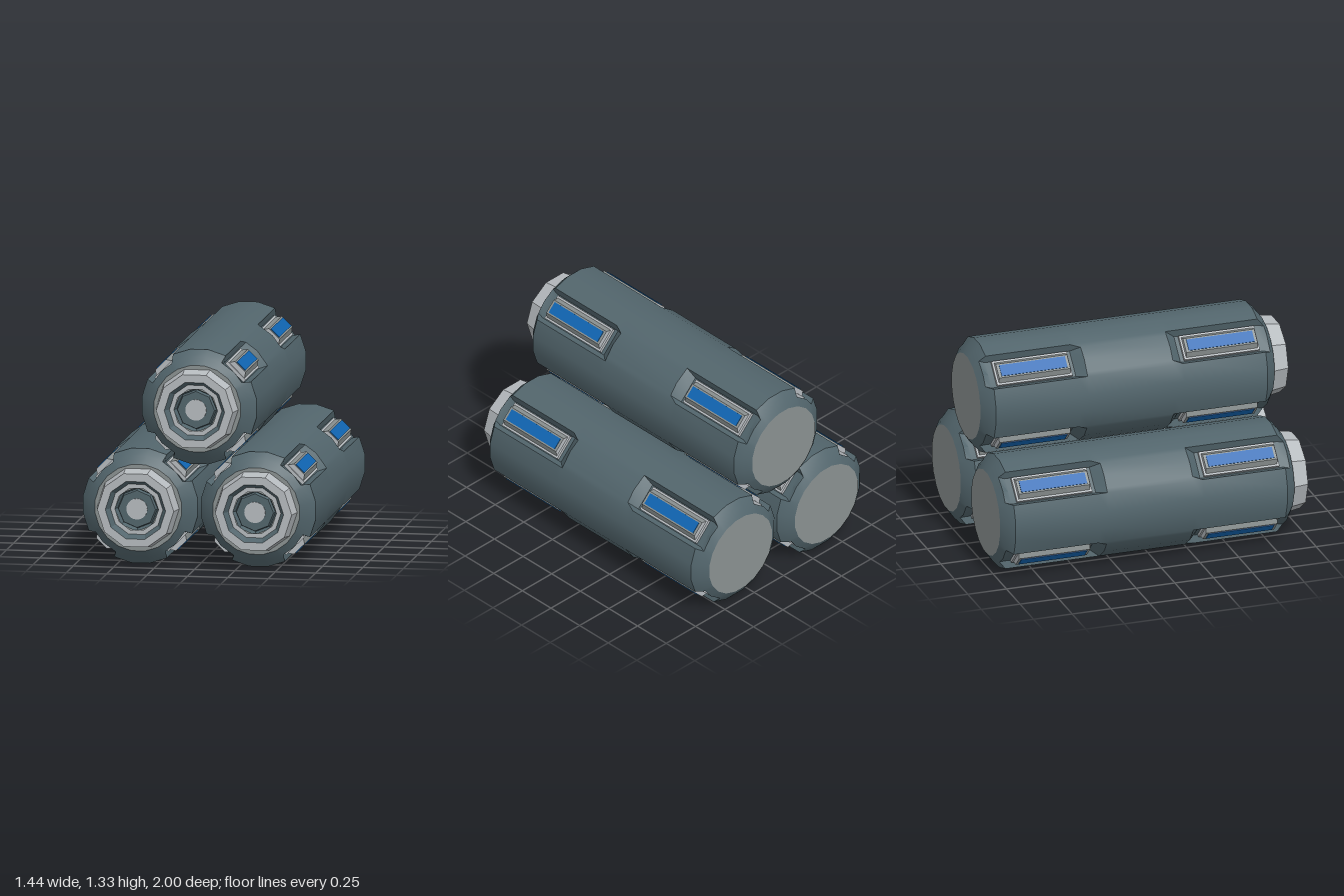
import * as THREE from 'three';
import { toCreasedNormals } from 'three/addons/utils/BufferGeometryUtils.js';

const mat = (name, color) => {
  const m = new THREE.MeshStandardMaterial({ color });
  m.name = name;
  return m;
};
const shell = mat('slate shell', 0x52656c);
const light = mat('light metal', 0xb6bbbf);
const grey = mat('grey metal', 0x8a9191);
const blue = mat('blue light', 0x1065b2);

const mesh = (name, geo, material) => {
  const m = new THREE.Mesh(geo, material);
  m.name = name;
  return m;
};

// Faceted ring or disc turned around the z axis; profile is [radius, z] pairs
const turned = (profile, sides, start = 0) => {
  const g = new THREE.LatheGeometry(profile.map(([r, z]) => new THREE.Vector2(r, z)), sides, start);
  g.rotateX(Math.PI / 2);
  return toCreasedNormals(g, 0.1);
};

// One 20-sided cross-section; the four diagonal corners sink into flat slots when slot is true
function section(r, z, slot) {
  const pts = [];
  const s = Math.PI / 10;
  const A = [r * Math.cos(s), r * Math.sin(s)];
  for (let k = 0; k < 4; k++) {
    const c = Math.PI / 4 + k * Math.PI / 2;
    const f = slot ? [0.3, 0.085] : [r + (A[0] - r) * 0.75, A[1] * 0.75];
    const mid = slot ? 0.3 : r;
    const far = [r * Math.cos(2 * s), r * Math.sin(2 * s)];
    const local = [[far[0], -far[1]], [A[0], -A[1]], [f[0], -f[1]], [mid, 0], f, A, far];
    for (const [u, v] of local) {
      pts.push(u * Math.cos(c) - v * Math.sin(c), u * Math.sin(c) + v * Math.cos(c), z);
    }
  }
  return pts;
}

function bodyGeometry() {
  const stations = [
    [0.27, -1, false], [0.318, -0.968, false], [0.359, -0.93, true], [0.359, -0.385, true],
    [0.359, -0.325, false], [0.359, 0.23, false], [0.359, 0.29, true], [0.359, 0.825, true],
    [0.318, 0.866, false], [0.27, 0.9, false],
  ];
  const n = 28;
  const pos = stations.flatMap((st) => section(...st));
  const index = [];
  for (let i = 0; i < stations.length - 1; i++) {
    for (let j = 0; j < n; j++) {
      const a = i * n + j, b = i * n + (j + 1) % n;
      index.push(a, b, b + n, a, b + n, a + n);
    }
  }
  const g = new THREE.BufferGeometry();
  g.setAttribute('position', new THREE.Float32BufferAttribute(pos, 3));
  g.setIndex(index);
  return toCreasedNormals(g, 0.45);
}

// Bevelled light strip sitting in a slot, outward direction is +y
function lampUnit() {
  const g = new THREE.Group();
  g.name = 'lamp';
  const base = mesh('lampBase', new THREE.BoxGeometry(0.16, 0.03, 0.485), light);
  base.position.y = 0.304;
  const shape = new THREE.Shape([[-0.07, 0.315], [0.07, 0.315], [0.046, 0.349], [-0.046, 0.349]]
    .map(([x, y]) => new THREE.Vector2(x, y)));
  const block = mesh('lampHousing',
    new THREE.ExtrudeGeometry(shape, { depth: 0.46, bevelEnabled: false }), [light, grey]);
  block.position.z = -0.23;
  const strip = mesh('lampStrip', new THREE.BoxGeometry(0.073, 0.008, 0.425), blue);
  strip.position.y = 0.349;
  g.add(base, block, strip);
  return g;
}

function canister() {
  const g = new THREE.Group();
  g.name = 'canister';
  g.add(mesh('body', bodyGeometry(), shell));

  // End discs
  const disc = new THREE.CircleGeometry(0.27, 20, Math.PI / 20);
  const front = mesh('frontDisc', disc, grey);
  front.position.z = 0.9;
  const back = mesh('backDisc', disc, grey);
  back.position.z = -1;
  back.rotation.y = Math.PI;
  g.add(front, back);

  // Nozzle: stepped rings narrowing inward
  const t = Math.PI / 10;
  g.add(
    mesh('collar', turned([[0.254, 0.9], [0.237, 1], [0.187, 1]], 10, t), light),
    mesh('collarFunnel', turned([[0.187, 1], [0.162, 0.955]], 10, t), shell),
    mesh('innerRing', turned([[0.17, 0.956], [0.135, 0.956]], 10, t), light),
    mesh('innerWall', turned([[0.137, 0.956], [0.12, 0.91]], 8), shell),
    mesh('plug', turned([[0.125, 0.91], [0.115, 0.945], [0, 0.945]], 8), shell),
    mesh('plugCap', turned([[0.065, 0.945], [0.065, 0.951], [0, 0.951]], 20), light),
  );

  // Four lamps around, at front and back
  for (let k = 0; k < 4; k++) {
    for (const z of [0.557, -0.652]) {
      const lamp = lampUnit();
      lamp.rotation.z = Math.PI / 4 + k * Math.PI / 2;
      lamp.position.z = z;
      g.add(lamp);
    }
  }
  return g;
}

export function createModel() {
  const model = new THREE.Group();
  model.name = 'canisterStack';
  const places = [['leftCanister', 0.365, 0.357], ['rightCanister', -0.365, 0.357], ['topCanister', 0, 0.98]];
  for (const [name, x, y] of places) {
    const c = canister();
    c.name = name;
    c.position.set(x, y, 0);
    model.add(c);
  }
  return model;
}
